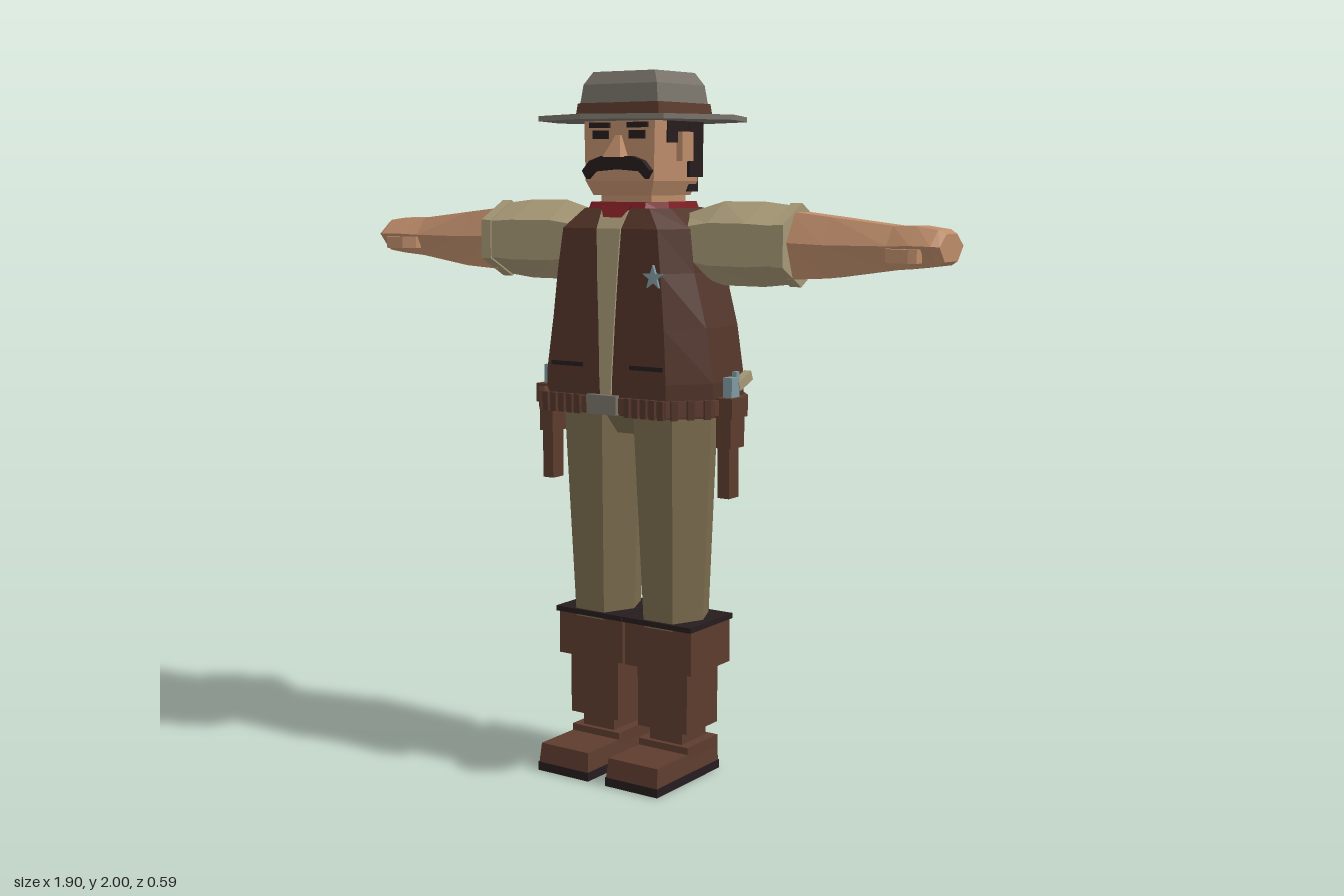
import * as THREE from 'three';

const mat = (name, color) => {
  const m = new THREE.MeshStandardMaterial({ color, flatShading: true });
  m.name = name;
  return m;
};

export function createModel() {
  const skin = mat('skin', 0xbd8c6a), shirt = mat('shirt cloth', 0xa69876), khaki = mat('trouser khaki', 0x7a6b4e);
  const brown = mat('vest brown', 0x53352a), leather = mat('boot leather', 0x5d3c2e), felt = mat('hat felt', 0x79736a);
  const red = mat('scarf red', 0x7d1e22), dark = mat('dark hair', 0x261c1e), steel = mat('steel', 0x7f9aa2);
  const root = new THREE.Group();

  const add = (name, geo, material, parent = root) => {
    const mesh = new THREE.Mesh(geo, material);
    mesh.name = name;
    parent.add(mesh);
    return mesh;
  };
  const group = (name) => {
    const g = new THREE.Group();
    g.name = name;
    root.add(g);
    return g;
  };
  const box = (name, m, x0, x1, y0, y1, z0, z1, parent) => {
    const mesh = add(name, new THREE.BoxGeometry(Math.abs(x1 - x0), y1 - y0, z1 - z0), m, parent);
    mesh.position.set((x0 + x1) / 2, (y0 + y1) / 2, (z0 + z1) / 2);
    return mesh;
  };

  // Skin a list of convex rings, cap both ends and turn the faces outward
  const loft = (name, m, rings, parent) => {
    const tris = [], n = rings[0].length;
    const mid = (r) => [0, 1, 2].map((k) => r.reduce((a, p) => a + p[k], 0) / n);
    for (let i = 0; i + 1 < rings.length; i++) {
      for (let j = 0; j < n; j++) {
        const k = (j + 1) % n, a = rings[i], b = rings[i + 1];
        tris.push([a[j], a[k], b[k]], [a[j], b[k], b[j]]);
      }
    }
    const first = rings[0], last = rings[rings.length - 1], c0 = mid(first), c1 = mid(last);
    for (let j = 0; j < n; j++) {
      const k = (j + 1) % n;
      tris.push([c0, first[k], first[j]], [c1, last[j], last[k]]);
    }
    const v = (p) => new THREE.Vector3(p[0] - c0[0], p[1] - c0[1], p[2] - c0[2]);
    const volume = tris.reduce((s, [a, b, c]) => s + v(a).dot(v(b).cross(v(c))), 0);
    if (volume < 0) tris.forEach((t) => t.reverse());
    const geo = new THREE.BufferGeometry();
    geo.setAttribute('position', new THREE.Float32BufferAttribute(tris.flat(2), 3));
    geo.computeVertexNormals();
    return add(name, geo, m, parent);
  };
  // Horizontal rings: rectangle, hexagon with side corners, and chamfered octagon
  const rect = (y, hw, z0, z1, cx = 0) => [[cx - hw, y, z0], [cx + hw, y, z0], [cx + hw, y, z1], [cx - hw, y, z1]];
  const hex = (y, cx, hw, z0, z1) => {
    const zc = (z0 + z1) / 2, k = hw * 0.55;
    return [[cx + hw, y, zc], [cx + k, y, z1], [cx - k, y, z1], [cx - hw, y, zc], [cx - k, y, z0], [cx + k, y, z0]];
  };
  const oct = (y, hw, cw, z0, z1, cz) => [[hw, y, cz], [cw, y, z1], [-cw, y, z1], [-hw, y, cz],
    [-hw, y, -cz], [-cw, y, z0], [cw, y, z0], [hw, y, -cz]];

  // Vest, shirt front and hips
  const torso = group('torso');
  loft('vest', brown, [
    oct(1.055, 0.285, 0.2, -0.175, 0.18, 0.08), oct(1.15, 0.288, 0.2, -0.178, 0.182, 0.08),
    oct(1.3, 0.265, 0.19, -0.175, 0.177, 0.08), oct(1.45, 0.225, 0.175, -0.168, 0.172, 0.08),
    oct(1.57, 0.21, 0.16, -0.16, 0.165, 0.08), oct(1.625, 0.14, 0.11, -0.14, 0.13, 0.07)], torso);
  loft('shirtFront', shirt, [[1.1, 0.018, 0.181], [1.15, 0.02, 0.182], [1.3, 0.026, 0.177],
    [1.45, 0.034, 0.172], [1.57, 0.04, 0.165], [1.62, 0.045, 0.134]]
    .map(([y, w, z]) => rect(y, w, z - 0.004, z + 0.005)), torso);
  loft('hips', khaki, [rect(0.99, 0.035, -0.06, 0.08), rect(1.06, 0.085, -0.1, 0.125)], torso);
  for (const s of [-1, 1]) box('pocketFlap', dark, s * 0.08, s * 0.19, 1.185, 1.197, 0.176, 0.185, torso);

  // Five-pointed badge
  const star = new THREE.Shape();
  for (let i = 0; i < 10; i++) {
    const r = i % 2 ? 0.014 : 0.035, a = Math.PI / 2 + i * Math.PI / 5;
    star[i ? 'lineTo' : 'moveTo'](r * Math.cos(a), r * Math.sin(a));
  }
  add('starBadge', new THREE.ExtrudeGeometry(star, { depth: 0.009, bevelEnabled: false }), steel, torso)
    .position.set(0.155, 1.44, 0.171);

  // Belt with buckle and cartridge loops
  const belt = group('belt');
  loft('beltBand', leather, [oct(1.062, 0.298, 0.208, -0.188, 0.195, 0.085),
    oct(1.105, 0.298, 0.208, -0.188, 0.195, 0.085)], belt);
  box('buckle', felt, -0.05, 0.05, 1.058, 1.112, 0.19, 0.208, belt);
  for (const s of [-1, 1]) {
    for (let i = 0; i < 5; i++) {
      const x = s * (0.085 + i * 0.028);
      box('cartridgeLoop', brown, x - 0.009, x + 0.009, 1.055, 1.108, 0.19, 0.206, belt);
    }
    for (let i = 0; i < 3; i++) {
      const t = (i + 0.5) / 3;
      const c = box('cartridgeLoop', brown, -0.009, 0.009, 1.055, 1.108, -0.008, 0.008, belt);
      c.position.x = s * (0.212 + 0.09 * t);
      c.position.z = 0.2 - 0.11 * t;
      c.rotation.y = s * 0.88;
    }
  }

  for (const s of [-1, 1]) {
    const side = s > 0 ? 'left' : 'right';

    // Holster and revolver
    const gun = group(side + 'Holster');
    box('holsterTop', leather, s * 0.28, s * 0.34, 1.055, 1.11, -0.015, 0.065, gun);
    box('holsterBody', leather, s * 0.285, s * 0.332, 0.97, 1.06, -0.012, 0.06, gun);
    box('holsterTip', leather, s * 0.288, s * 0.325, 0.83, 0.97, 0.005, 0.055, gun);
    box('gunFrame', steel, s * 0.298, s * 0.326, 1.09, 1.165, 0.005, 0.045, gun);
    const grip = box('gunGrip', shirt, s * 0.305, s * 0.328, 1.138, 1.165, -0.06, 0.01, gun);
    grip.rotation.x = 0.4;
    box('gunHammer', steel, s * 0.308, s * 0.322, 1.155, 1.18, 0, 0.015, gun);

    // Leg
    const leg = group(side + 'Leg');
    loft('trouserLeg', khaki, [hex(0.44, s * 0.12, 0.09, -0.085, 0.1),
      hex(1.07, s * 0.12, 0.12, -0.105, 0.13)], leg);

    // Boot
    box('sole', dark, s * 0.03, s * 0.21, 0, 0.025, -0.085, 0.235, leg);
    loft('bootFoot', leather, [rect(0.025, 0.088, -0.082, 0.232, s * 0.12),
      rect(0.08, 0.084, -0.08, 0.225, s * 0.12)], leg);
    box('bootHeel', leather, s * 0.035, s * 0.205, 0.025, 0.1, -0.082, 0.075, leg);
    box('bootAnkle', leather, s * 0.065, s * 0.175, 0.1, 0.14, -0.065, 0.06, leg);
    box('bootShaft', leather, s * 0.035, s * 0.205, 0.14, 0.32, -0.08, 0.08, leg);
    box('bootCuff', leather, s * 0.005, s * 0.232, 0.32, 0.447, -0.102, 0.1, leg);
    box('bootRim', dark, s * 0.002, s * 0.237, 0.447, 0.462, -0.11, 0.11, leg);

    // Arm: sleeve rings are hexagons with a corner on top
    const arm = group(side + 'Arm');
    const ring = (x, y, ry, rz) => [...Array(6).keys()].map((i) => {
      const a = i * Math.PI / 3;
      return [s * x, y + ry * Math.cos(a), rz * Math.sin(a) / 0.866];
    });
    loft('sleeve', shirt, [ring(0.13, 1.53, 0.075, 0.07), ring(0.27, 1.53, 0.115, 0.085),
      ring(0.4, 1.53, 0.115, 0.103), ring(0.49, 1.53, 0.105, 0.095)], arm);
    loft('sleeveCuff', shirt, [ring(0.48, 1.53, 0.112, 0.1), ring(0.515, 1.53, 0.112, 0.1)], arm);

    // Forearm and hand flatten into a wide hexagon
    const palm = (x, y, hy, hz) => [[0.45, 1], [1, 0.1], [0.55, -1], [-0.55, -1], [-1, 0.1], [-0.45, 1]]
      .map(([z, h]) => [s * x, y + h * hy, z * hz]);
    loft('forearm', skin, [palm(0.5, 1.53, 0.09, 0.083), palm(0.62, 1.527, 0.08, 0.078),
      palm(0.8, 1.53, 0.057, 0.068), palm(0.87, 1.533, 0.054, 0.08),
      palm(0.93, 1.533, 0.046, 0.083), palm(0.95, 1.533, 0.035, 0.07)], arm);
    loft('thumb', skin, [[0.8, 0.05, 0.072], [0.83, 0.05, 0.1], [0.88, 0.06, 0.105], [0.9, 0.065, 0.095]]
      .map(([x, z0, z1]) => [[s * x, 1.495, z0], [s * x, 1.495, z1], [s * x, 1.53, z1], [s * x, 1.53, z0]]), arm);
  }

  // Scarf, neck and head
  const head = group('head');
  loft('scarf', red, [oct(1.575, 0.125, 0.085, -0.13, 0.11, 0.07), oct(1.605, 0.142, 0.1, -0.145, 0.138, 0.075),
    oct(1.642, 0.132, 0.09, -0.135, 0.12, 0.07)], head);
  loft('scarfKnot', red, [rect(1.575, 0.015, 0.12, 0.165), rect(1.63, 0.05, 0.09, 0.135)], head);
  box('neck', skin, -0.085, 0.085, 1.6, 1.67, -0.085, 0.085, head);
  loft('face', skin, [rect(1.66, 0.098, -0.09, 0.105), rect(1.7, 0.116, -0.1, 0.118),
    rect(1.875, 0.12, -0.1, 0.118)], head);
  loft('nose', skin, [rect(1.765, 0.03, 0.11, 0.155), rect(1.825, 0.008, 0.11, 0.124)], head);

  // Hair with stepped sides, brows, eyes and ears
  box('backHair', dark, -0.126, 0.126, 1.71, 1.872, -0.113, -0.045, head);
  box('napeHair', dark, -0.112, 0.112, 1.67, 1.71, -0.108, -0.06, head);
  for (const s of [-1, 1]) {
    box('sideHair', dark, s * 0.1, s * 0.125, 1.835, 1.872, -0.05, 0.02, head);
    box('sideburn', dark, s * 0.1, s * 0.124, 1.805, 1.868, 0.012, 0.06, head);
    box('ear', skin, s * 0.11, s * 0.138, 1.755, 1.835, -0.045, 0.01, head);
    box('eye', dark, s * 0.035, s * 0.088, 1.815, 1.838, 0.115, 0.122, head);
    box('eyebrow', dark, s * 0.03, s * 0.098, 1.845, 1.86, 0.112, 0.126, head);
  }

  // Moustache
  const lip = new THREE.Shape();
  const half = [[0, 1.765], [0.05, 1.768], [0.09, 1.755], [0.115, 1.728], [0.1, 1.705], [0.078, 1.726], [0, 1.732]];
  [...half, ...half.slice(1, -1).reverse().map(([x, y]) => [-x, y])]
    .forEach(([x, y], i) => lip[i ? 'lineTo' : 'moveTo'](x, y));
  add('moustache', new THREE.ExtrudeGeometry(lip, { depth: 0.025, bevelEnabled: false }), dark, head).position.z = 0.112;

  // Hat
  const hat = group('hat');
  const brim = (y) => [...Array(8).keys()].map((i) => [0.298 * Math.sin(i * Math.PI / 4), y, 0.296 * Math.cos(i * Math.PI / 4)]);
  loft('brim', felt, [brim(1.864), brim(1.878)], hat);
  loft('crown', felt, [rect(1.875, 0.136, -0.134, 0.126), rect(1.965, 0.124, -0.122, 0.115),
    rect(2, 0.104, -0.102, 0.096)], hat);
  loft('hatBand', leather, [rect(1.882, 0.14, -0.138, 0.13), rect(1.914, 0.136, -0.134, 0.126)], hat);

  return root;
}
